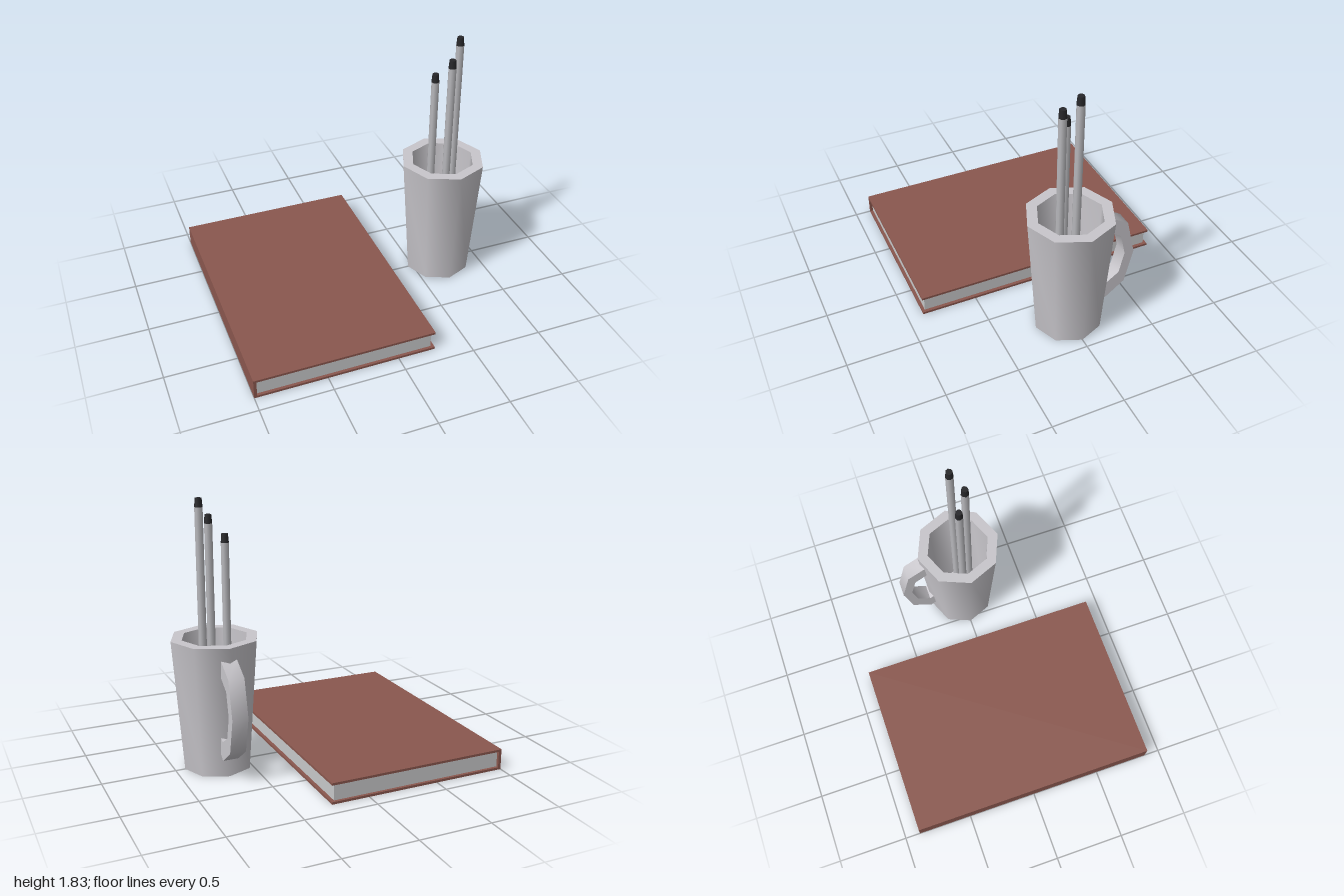
import * as THREE from 'three';
import { toCreasedNormals } from 'three/addons/utils/BufferGeometryUtils.js';

const mat = (name, color) => {
  const m = new THREE.MeshStandardMaterial({ color });
  m.name = name;
  return m;
};

export function createModel() {
  const root = new THREE.Group();
  root.name = 'deskSet';
  const leather = mat('brown cover', 0x8a574e);
  const paper = mat('paper', 0xc8c9ca);
  const ceramic = mat('cup grey', 0xc8c6cb);
  const metal = mat('pencil grey', 0xb9b9bd);
  const black = mat('black tip', 0x27272a);

  const add = (parent, name, geometry, material, x = 0, y = 0, z = 0) => {
    const mesh = new THREE.Mesh(geometry, material);
    mesh.name = name;
    mesh.position.set(x, y, z);
    parent.add(mesh);
    return mesh;
  };

  // Book: two covers, a spine and a recessed page block
  const book = new THREE.Group();
  book.name = 'book';
  root.add(book);
  const height = 0.145, board = 0.016, depth = 1.78, width = 1.263;
  for (const [name, y] of [['bottomCover', board / 2], ['topCover', height - board / 2]]) {
    add(book, name, new THREE.BoxGeometry(width, board, depth), leather, -1 + width / 2, y);
  }
  add(book, 'spine', new THREE.BoxGeometry(0.02, height - 2 * board, depth), leather, -0.99, height / 2);
  add(book, 'pages', new THREE.BoxGeometry(1.22, height - 2 * board, 1.74), paper, -0.37, height / 2);

  // Cup: octagonal tapered shell with an inner floor
  const cup = new THREE.Group();
  cup.name = 'cup';
  cup.position.x = 0.698;
  root.add(cup);
  const floorY = 0.06;
  const profile = [[0, 0], [0.235, 0], [0.301, 0.905], [0.226, 0.905], [0.19, floorY], [0, floorY]]
    .map(([r, y]) => new THREE.Vector2(r, y));
  add(cup, 'cupBody', toCreasedNormals(new THREE.LatheGeometry(profile, 8), 0.9), ceramic);

  // Handle: angular loop behind the cup, drawn as distance back against height
  const loop = [
    [0.24, 0.84], [0.27, 0.82], [0.402, 0.733], [0.46, 0.48], [0.402, 0.235], [0.26, 0.13],
    [0.215, 0.17], [0.225, 0.285], [0.265, 0.263], [0.355, 0.325], [0.392, 0.48],
    [0.355, 0.64], [0.265, 0.703], [0.24, 0.72],
  ].map(([x, y]) => new THREE.Vector2(x, y));
  const handle = new THREE.ExtrudeGeometry(new THREE.Shape(loop), { depth: 0.108, bevelEnabled: false });
  handle.translate(0, 0, -0.054).rotateY(Math.PI / 2);
  add(cup, 'handle', toCreasedNormals(handle, 0.85), ceramic);

  // Pencils standing on the cup floor
  const tipHeight = 0.058;
  for (const [x, z, top] of [[-0.087, 0, 1.585], [-0.002, 0.072, 1.705], [0.083, 0, 1.826]]) {
    const pencil = new THREE.Group();
    pencil.name = 'pencil';
    pencil.position.set(x, 0, z);
    cup.add(pencil);
    const length = top - tipHeight - floorY;
    add(pencil, 'shaft', new THREE.CylinderGeometry(0.028, 0.028, length, 8), metal, 0, floorY + length / 2);
    add(pencil, 'tip', new THREE.CylinderGeometry(0.023, 0.028, tipHeight, 8), black, 0, top - tipHeight / 2);
  }
  return root;
}
